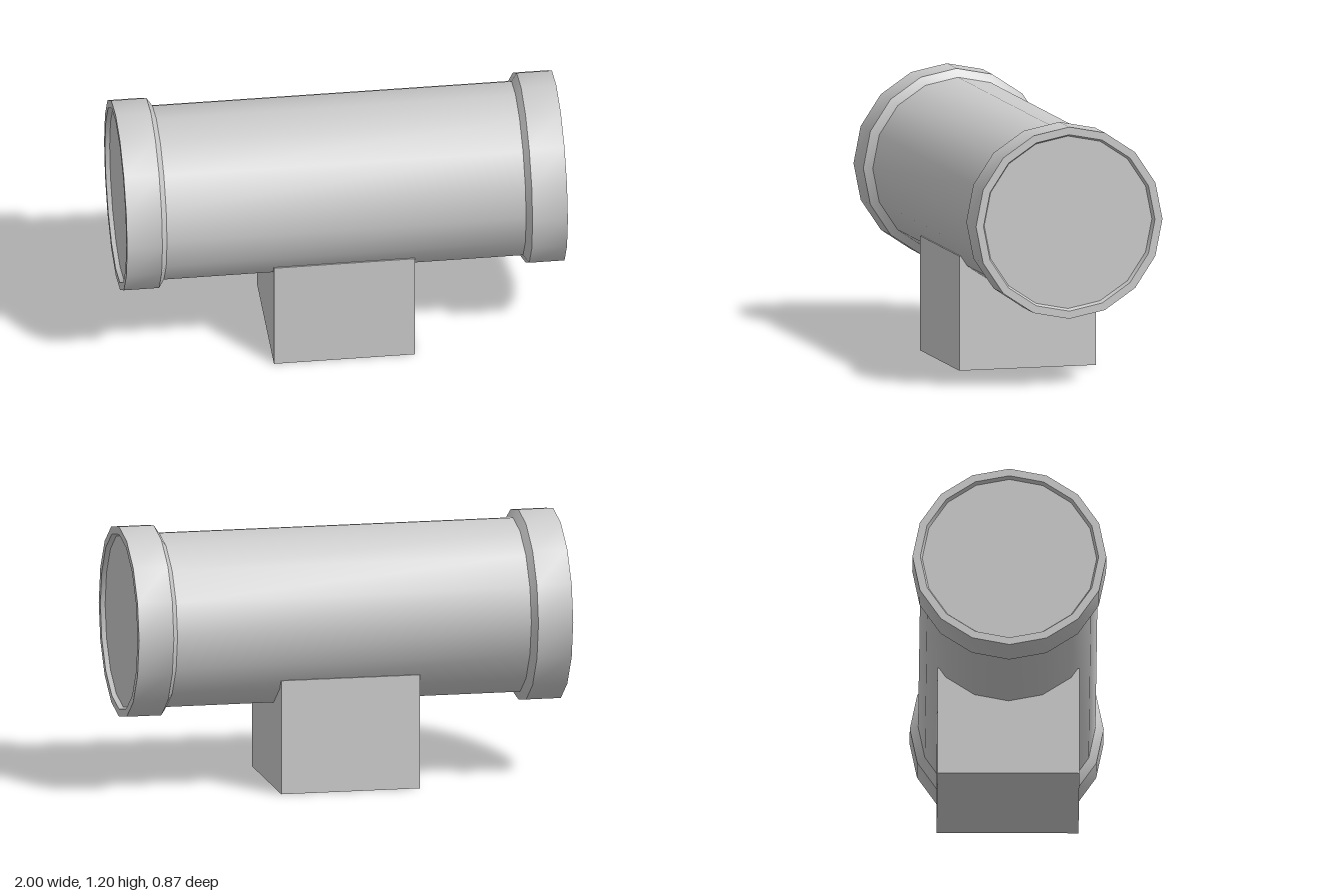
import * as THREE from 'three';
import { toCreasedNormals } from 'three/addons/utils/BufferGeometryUtils.js';

export function createModel() {
  const model = new THREE.Group();
  const material = new THREE.MeshStandardMaterial({ color: 0xcccccc });

  // Half profile [radius, distance along the axis]: tube, bevelled collar, rim, recessed end
  const half = [
    [0.4, 0.815], [0.437, 0.84], [0.437, 1],
    [0.402, 1], [0.393, 0.98], [0, 0.98],
  ];
  const mirrored = half.map(([r, d]) => [r, -d]).reverse();
  const profile = [...mirrored, ...half].map(([r, d]) => new THREE.Vector2(r, d));

  // Sixteen-sided barrel lying along x
  const barrelGeometry = toCreasedNormals(new THREE.LatheGeometry(profile, 16), 0.5);
  barrelGeometry.rotateZ(-Math.PI / 2);
  const barrel = new THREE.Mesh(barrelGeometry, material);
  barrel.name = 'barrel';
  barrel.position.y = 0.759;
  model.add(barrel);

  // Block that carries the barrel
  const base = new THREE.Mesh(new THREE.BoxGeometry(0.64, 0.522, 0.64), material);
  base.name = 'baseBlock';
  base.position.y = 0.261;
  model.add(base);

  return model;
}
